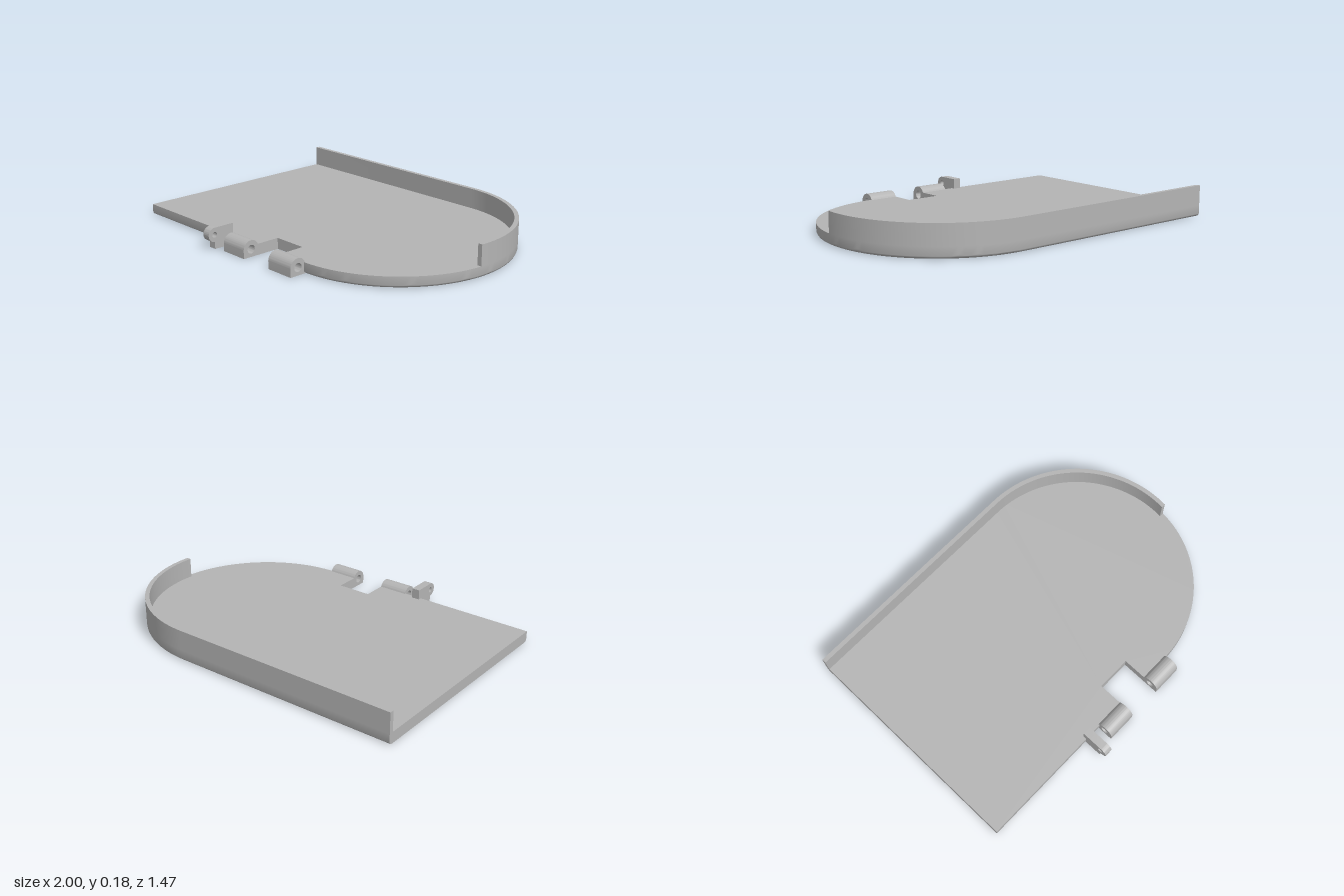
import * as THREE from 'three';
import { toCreasedNormals } from 'three/addons/utils/BufferGeometryUtils.js';

const R = 0.664, CX = 1 - R, CZ = -0.071;      // rounded end: radius and centre
const FLOOR = 0.062, RIM = 0.178, WALL = 0.025, FILLET = 0.02;
const V = (x, y) => new THREE.Vector2(x, y);

// Plan outline (x, -z), counter-clockwise from above, drawn in by `inset`
function plateOutline(inset) {
  const r = R - inset, front = -CZ - r;
  const pts = [V(-1, front), V(-0.03, front), V(-0.03, -0.45), V(0.17, -0.45), V(0.17, front)];
  const n = 64;
  for (let i = 0; i <= n; i++) {
    const a = -Math.PI / 2 + (Math.PI * i) / n;
    pts.push(V(CX + r * Math.cos(a), -CZ + r * Math.sin(a)));
  }
  pts.push(V(-1, -CZ + r));
  return pts;
}

// Plate lofted through outlines, with a rounded lower edge
function plateGeometry() {
  const rings = [];
  for (let i = 0; i <= 6; i++) {
    const a = (i / 6) * Math.PI / 2;
    rings.push({ y: FILLET * (1 - Math.cos(a)), pts: plateOutline(FILLET * (1 - Math.sin(a))) });
  }
  rings.push({ y: FLOOR, pts: plateOutline(0) });
  const pos = [];
  const put = (ring, j) => pos.push(ring.pts[j].x, ring.y, -ring.pts[j].y);
  const n = rings[0].pts.length;
  for (let k = 0; k < rings.length - 1; k++) {
    const lo = rings[k], hi = rings[k + 1];
    for (let j = 0; j < n; j++) {
      const m = (j + 1) % n;
      put(lo, j); put(lo, m); put(hi, m);
      put(lo, j); put(hi, m); put(hi, j);
    }
  }
  const bottom = rings[0], top = rings[rings.length - 1];
  for (const [a, b, c] of THREE.ShapeUtils.triangulateShape(top.pts, [])) {
    put(top, a); put(top, b); put(top, c);
  }
  for (const [a, b, c] of THREE.ShapeUtils.triangulateShape(bottom.pts, [])) {
    put(bottom, a); put(bottom, c); put(bottom, b);
  }
  const g = new THREE.BufferGeometry();
  g.setAttribute('position', new THREE.Float32BufferAttribute(pos, 3));
  return toCreasedNormals(g, 0.6);
}

// Raised rim along the back and round to the middle of the curved end
function rimGeometry() {
  const endZ = -0.005, ri = R - WALL;
  const ao = Math.asin((CZ - endZ) / R), ai = Math.asin((CZ - endZ) / ri);
  const s = new THREE.Shape();
  s.moveTo(-1, -CZ + ri);
  s.lineTo(CX, -CZ + ri);
  s.absarc(CX, -CZ, ri, Math.PI / 2, ai, true);
  s.lineTo(CX + R * Math.cos(ao), -CZ + R * Math.sin(ao));
  s.absarc(CX, -CZ, R, ao, Math.PI / 2, false);
  s.lineTo(-1, -CZ + R);
  s.closePath();
  const g = new THREE.ExtrudeGeometry(s, { depth: RIM - FLOOR, bevelEnabled: false, curveSegments: 40 });
  g.rotateX(-Math.PI / 2).translate(0, FLOOR, 0);
  return toCreasedNormals(g, 0.6);
}

// Side profile (z, y) extruded across x, with a round hole
function crossPiece(shape, hz, hy, hr, x0, x1) {
  const hole = new THREE.Path();
  hole.absarc(hz, hy, hr, 0, Math.PI * 2, true);
  shape.holes.push(hole);
  const g = new THREE.ExtrudeGeometry(shape, { depth: x1 - x0, bevelEnabled: false, curveSegments: 20 });
  g.rotateY(-Math.PI / 2).translate(x1, 0, 0);
  return toCreasedNormals(g, 0.6);
}

// Hinge knuckle: square foot with a half-round top
function knuckleGeometry(x0, x1) {
  const z = 0.632, y = 0.043, r = 0.05;
  const s = new THREE.Shape();
  s.moveTo(z - r, 0);
  s.lineTo(z + r, 0);
  s.lineTo(z + r, y);
  s.absarc(z, y, r, 0, Math.PI, false);
  s.closePath();
  return crossPiece(s, z, y, 0.024, x0, x1);
}

// Latch lug: upright block with a round nose
function lugGeometry(x0, x1) {
  const z = 0.695, y = 0.08, r = 0.04;
  const s = new THREE.Shape();
  s.moveTo(0.572, 0);
  s.lineTo(z, 0);
  s.lineTo(z, y - r);
  s.absarc(z, y, r, -Math.PI / 2, Math.PI / 2, false);
  s.lineTo(0.572, y + r);
  s.closePath();
  return crossPiece(s, z, y, 0.016, x0, x1);
}

export function createModel() {
  const grey = new THREE.MeshStandardMaterial({ color: 0xb4b4b4 });
  grey.name = 'grey';
  const model = new THREE.Group();
  model.name = 'hingedTray';
  const add = (name, geometry) => {
    const mesh = new THREE.Mesh(geometry, grey);
    mesh.name = name;
    model.add(mesh);
  };
  add('basePlate', plateGeometry());
  add('rim', rimGeometry());
  add('rightKnuckle', knuckleGeometry(-0.2, -0.03));
  add('leftKnuckle', knuckleGeometry(0.17, 0.342));
  add('latchLug', lugGeometry(-0.307, -0.26));
  return model;
}
